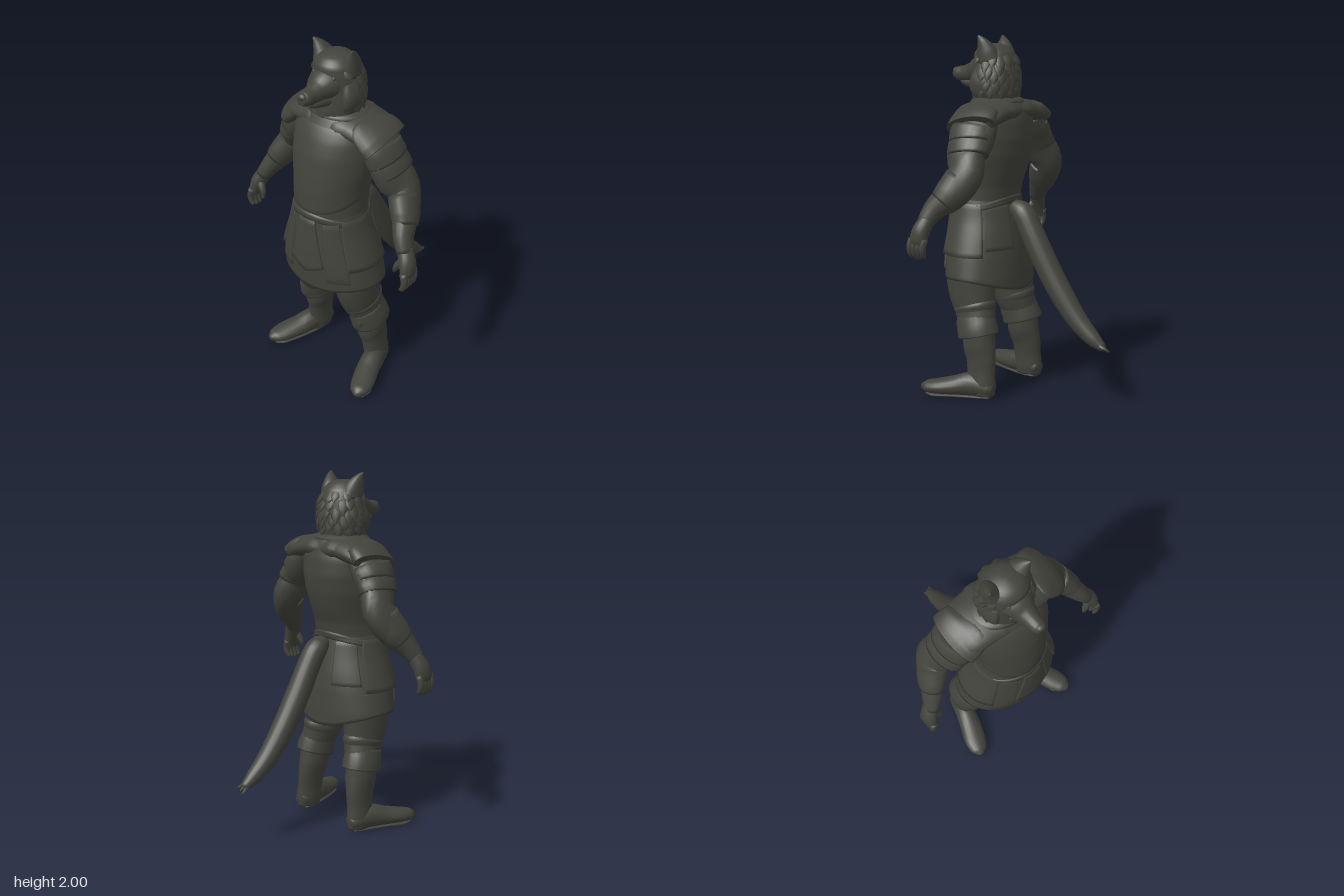
import * as THREE from 'three';
import { mergeVertices } from 'three/addons/utils/BufferGeometryUtils.js';

const V = (x, y, z) => new THREE.Vector3(x, y, z);
const lerp = THREE.MathUtils.lerp;

// Smooth surface from f(u, v); outward when du x dv points outward
function surface(nu, nv, f) {
  const pos = [], idx = [];
  for (let j = 0; j <= nv; j++) for (let i = 0; i <= nu; i++) pos.push(...f(i / nu, j / nv).toArray());
  for (let j = 0; j < nv; j++) for (let i = 0; i < nu; i++) {
    const a = j * (nu + 1) + i, b = a + 1, c = a + nu + 1, d = c + 1;
    idx.push(a, b, d, a, d, c);
  }
  let g = new THREE.BufferGeometry();
  g.setAttribute('position', new THREE.Float32BufferAttribute(pos, 3));
  g.setIndex(idx);
  g = mergeVertices(g, 1e-5);
  g.computeVertexNormals();
  return g;
}

// Tapered limb along points [x, y, z, radiusA, radiusB], closed at both ends
function limb(pts, ref = V(1, 0, 0), nu = 20, nv = 24) {
  const path = new THREE.CatmullRomCurve3(pts.map(p => V(p[0], p[1], p[2])));
  const rad = new THREE.CatmullRomCurve3(pts.map(p => V(p[3], p[4] ?? p[3], 0)));
  return surface(nu, nv + 2, (u, v) => {
    const row = Math.round(v * (nv + 2));
    const t = Math.min(Math.max((row - 1) / nv, 0), 1);
    const c = path.getPoint(t);
    if (row === 0 || row === nv + 2) return c;
    const T = path.getTangent(t), r = rad.getPoint(t), a = u * Math.PI * 2;
    const U = ref.clone().addScaledVector(T, -ref.dot(T)).normalize();
    const W = U.clone().cross(T);
    return c.addScaledVector(U, r.x * Math.sin(a)).addScaledVector(W, r.y * Math.cos(a));
  });
}

// Horizontal oval sections: [y, halfWidth, backZ, frontZ], from bottom to top
const TORSO = [[1.04, .215, .09, .475], [1.1, .203, .1, .475], [1.18, .2, .085, .472], [1.26, .207, .055, .468],
  [1.35, .225, .03, .455], [1.45, .235, .018, .437], [1.54, .235, .025, .405], [1.61, .21, .045, .362],
  [1.655, .16, .08, .335], [1.675, .1, .12, .31]];
const SKIRT = [[.58, .315, .04, .48], [.68, .308, .042, .49], [.8, .283, .05, .5], [.9, .255, .062, .495],
  [1.0, .225, .08, .488], [1.1, .206, .098, .478], [1.14, .195, .11, .465]];
const HEAD = [[1.59, .125, .12, .345], [1.66, .133, .1, .345], [1.73, .145, .09, .34], [1.8, .14, .088, .335],
  [1.86, .128, .095, .34], [1.91, .11, .115, .335], [1.945, .075, .15, .305], [1.958, .03, .19, .26]];

// Point on an oval body; angle 0 is the front, positive toward +x
function onBody(rows, y, a, off = 0) {
  let i = 0;
  while (i < rows.length - 2 && y > rows[i + 1][0]) i++;
  const t = (y - rows[i][0]) / (rows[i + 1][0] - rows[i][0]);
  const [rx, zb, zf] = [1, 2, 3].map(k => lerp(rows[i][k], rows[i + 1][k], t));
  return V((rx + off) * Math.sin(a), y, (zb + zf) / 2 + ((zf - zb) / 2 + off) * Math.cos(a));
}

// Closed oval body; the lower edge may vary with the angle
function ovalBody(rows, bottom, nv = 36, capY = rows[0][0]) {
  const top = rows.at(-1);
  return surface(48, nv + 2, (u, v) => {
    const row = Math.round(v * (nv + 2)), a = u * Math.PI * 2;
    if (row === 0) return V(0, capY, .26);
    if (row === nv + 2) return V(0, top[0], (top[2] + top[3]) / 2);
    return onBody(rows, lerp(bottom(a), top[0], (row - 1) / nv), a);
  });
}

// Raised plate that follows a body, with its rim sunk into the surface
function plate(rows, a0, a1, lower, upper, off = .012, flare = 0, nu = 24, nv = 12) {
  return surface(nu, nv, (u, v) => {
    const rim = u < 1e-6 || u > 1 - 1e-6 || v < 1e-6 || v > 1 - 1e-6;
    const s = Math.min(Math.max((u * nu - 1) / (nu - 2), 0), 1);
    const t = Math.min(Math.max((v * nv - 1) / (nv - 2), 0), 1);
    const w = lerp(a0(t), a1(t), s);
    return onBody(rows, lerp(lower(s), upper(s), t), w, rim ? -.006 : off + flare * (1 - t));
  });
}

export function createModel() {
  const model = new THREE.Group();
  const mat = new THREE.MeshStandardMaterial({ color: 0x42433c, side: THREE.DoubleSide });
  mat.name = 'dark olive grey';
  const add = (name, geo, parent = model) => {
    const m = new THREE.Mesh(geo, mat);
    m.name = name;
    parent.add(m);
    return m;
  };
  const k = n => () => n;
  const PI = Math.PI;

  // Torso, shoulder yoke, collar and belt
  add('torso', ovalBody(TORSO, k(1.04)));
  add('shoulderYoke', limb([[-.29, 1.535, .178, .05, .125], [-.22, 1.57, .182, .065, .148], [-.12, 1.59, .19, .07, .155], [0, 1.59, .195, .07, .155],
    [.12, 1.59, .195, .07, .155], [.22, 1.57, .193, .065, .148], [.29, 1.535, .19, .05, .125]], V(0, 1, 0), 28, 30));
  add('collar', plate(TORSO, k(-PI), k(PI), k(1.64), k(1.665), .006, 0, 48, 4));
  add('belt', plate(TORSO, k(-PI), k(PI), s => 1.07 + .02 * Math.cos(s * PI * 4), s => 1.105 + .025 * Math.cos(s * PI * 4), .007, 0, 48, 5));
  add('breastplate', plate(TORSO, t => -1.4 + .1 * t, t => 1.4 - .1 * t, s => 1.2 - .07 * Math.sin(s * PI), k(1.6), .004, 0, 28, 20));

  // Skirt with hanging plates
  const hem = a => .655 + .02 * Math.sin(a) ** 2 - .045 * Math.max(0, -Math.cos(a)) ** 2 - .01 * Math.cos(a) ** 8;
  add('skirt', ovalBody(SKIRT, hem, 28, .72));
  add('frontPanel', plate(SKIRT, t => lerp(-.4, -.26, t), t => lerp(.4, .26, t), s => .755 + .055 * Math.abs(2 * s - 1), k(1.09), .008, 0, 24, 14));
  for (const s of [-1, 1]) {
    const span = (c, lo, hi) => [t => s * c - lerp(lo, hi, t), t => s * c + lerp(lo, hi, t)];
    add('sidePlate', plate(SKIRT, ...span(1.5, .62, .55), k(.805), k(1.09), .004, .014));
    add('frontSidePlate', plate(SKIRT, ...span(.66, .24, .22), k(.72), k(1.08), .003, .004));
    add('backPlate', plate(SKIRT, ...span(2.5, .34, .3), k(.84), k(1.08), .004, .008));
  }

  // Arms: s is the side, d the forward shift of that side, growing toward the hand
  for (const [s, d, side] of [[-1, 0, 'right'], [1, .045, 'left']]) {
    const arm = new THREE.Group();
    arm.name = side + 'Arm';
    model.add(arm);
    const P = (pts, w) => pts.map(p => [s * p[0], p[1], p[2] + d * (w ?? (p[1] > 1.45 ? .3 : p[1] > 1.15 ? 1 : 1.5)), p[3], p[4]]);
    add('sleeve', limb(P([[.2, 1.56, .18, .07, .11], [.275, 1.47, .175, .088, .13], [.333, 1.37, .152, .078, .115],
      [.382, 1.29, .118, .078, .1], [.435, 1.19, .165, .07, .09], [.49, 1.1, .228, .052, .062], [.53, 1.03, .265, .04, .045]])), arm);
    add('shoulderPlate', limb(P([[.16, 1.6, .19, .05, .11], [.215, 1.585, .19, .058, .142], [.26, 1.555, .185, .064, .151],
      [.29, 1.528, .18, .066, .152]], .4)), arm);
    for (const [x, y, z, r] of [[.285, 1.475, .175, .088], [.32, 1.41, .165, .084]])
      add('armBand', limb(P([[x - .02, y + .04, z, r - .006, r + .036], [x, y, z, r, r + .04], [x + .017, y - .037, z - .005, r, r + .038]], .5), V(1, 0, 0), 20, 6), arm);
    add('cuff', limb(P([[.4, 1.26, .135, .076, .092], [.445, 1.18, .175, .072, .09], [.472, 1.135, .205, .062, .076]], 1.1), V(1, 0, 0), 20, 8), arm);
    add('palm', limb(P([[.52, 1.05, .25, .042, .042], [.552, .99, .272, .042, .05], [.565, .94, .282, .033, .052], [.565, .91, .285, .022, .046]], 1.5)), arm);
    for (let i = 0; i < 4; i++) {
      const z = .242 + i * .027, tip = .835 + .01 * Math.abs(i - 1.5);
      add('finger', limb(P([[.565, .95, z, .02], [.577, .905, z + .004, .019], [.568, .865, z + .006, .016], [.553, tip, z + .008, .009]], 1.5), V(1, 0, 0), 8, 8), arm);
    }
    add('thumb', limb(P([[.535, 1.0, .285, .024], [.51, .965, .297, .02], [.498, .942, .302, .015], [.492, .922, .304, .007]], 1.5), V(0, 0, 1), 8, 8), arm);
  }

  // Legs and boots
  for (const [s, d, side] of [[-1, 0, 'right'], [1, .035, 'left']]) {
    const leg = new THREE.Group();
    leg.name = side + 'Leg';
    leg.position.z = d;
    model.add(leg);
    const P = pts => pts.map(p => [s * p[0], ...p.slice(1)]);
    add('trouser', limb(P([[.155, .78, .25, .12, .14], [.17, .66, .245, .112, .15], [.178, .58, .235, .102, .142],
      [.183, .5, .215, .096, .124], [.2, .42, .19, .088, .11], [.205, .36, .18, .08, .1]])), leg);
    add('trouserFold', limb(P([[.182, .545, .225, .088, .118], [.184, .51, .215, .1, .13], [.19, .47, .205, .088, .112]]), V(1, 0, 0), 20, 8), leg);
    // knee guard flares out at its lower edge
    add('kneeGuard', limb(P([[.195, .46, .205, .088, .112], [.202, .42, .195, .094, .118], [.208, .38, .182, .099, .12], [.21, .352, .175, .1, .122]]), V(1, 0, 0), 24, 10), leg);
    add('kneePoint', limb(P([[.205, .45, .285, .03, .02], [.208, .4, .288, .045, .022], [.21, .335, .288, .012, .01]]), V(1, 0, 0), 10, 8), leg);
    add('bootShaft', limb(P([[.205, .39, .175, .08, .09], [.21, .3, .17, .078, .096], [.218, .22, .155, .062, .09],
      [.225, .14, .15, .056, .085], [.23, .07, .145, .058, .085], [.23, .02, .145, .05, .078]])), leg);
    add('bootFoot', limb(P([[.222, .055, .07, .035, .035], [.228, .062, .1, .05, .052], [.25, .075, .2, .06, .068], [.28, .062, .29, .066, .054],
      [.318, .053, .38, .066, .042], [.338, .048, .44, .05, .034], [.347, .046, .473, .014, .014]])), leg);
    add('sole', limb(P([[.225, .012, .09, .032, .01], [.235, .012, .15, .046, .012], [.275, .012, .28, .052, .012], [.32, .012, .39, .055, .012], [.338, .015, .445, .03, .01]])), leg);
  }

  // Tail with a ragged tip
  add('tail', limb([[.015, 1.07, .1, .04], [.015, 1.03, .035, .064], [.02, .93, -.025, .066], [.022, .8, -.095, .068], [.025, .62, -.205, .066],
    [.03, .47, -.32, .056], [.035, .38, -.42, .042], [.038, .34, -.48, .022]], V(1, 0, 0), 20, 32));
  for (let i = -1; i <= 1; i++)
    add('tailTuft', limb([[.037 + i * .012, .36, -.45, .016], [.037 + i * .018, .335 + .01 * i, -.49, .01], [.037 + i * .019, .33 + .012 * i, -.507, .002]], V(1, 0, 0), 6, 5));

  // Head
  const head = new THREE.Group();
  head.name = 'head';
  model.add(head);
  add('skull', ovalBody(HEAD, k(1.59)), head);
  add('muzzle', limb([[0, 1.815, .25, .115, .1], [0, 1.808, .32, .086, .08], [0, 1.797, .37, .058, .056], [0, 1.79, .42, .045, .046],
    [0, 1.79, .465, .04, .04], [0, 1.79, .492, .022, .024]]), head);
  add('lowerJaw', limb([[0, 1.735, .28, .075, .06], [0, 1.738, .35, .05, .036], [0, 1.743, .41, .036, .024], [0, 1.752, .44, .02, .016]]), head);
  const nose = add('nose', new THREE.SphereGeometry(.024, 14, 10), head);
  nose.position.set(0, 1.806, .477);
  nose.scale.set(1.1, .85, .9);
  for (const s of [-1, 1]) {
    add('ear', limb([[s * .075, 1.87, .215, .06, .075], [s * .09, 1.92, .222, .047, .058], [s * .108, 1.965, .235, .026, .032], [s * .124, 2.0, .252, .004, .005]], V(1, 0, 0), 16, 12), head);
    const eye = add('eye', new THREE.SphereGeometry(.012, 10, 8), head);
    eye.position.set(s * .063, 1.86, .318);
    add('cheekRuff', limb([[s * .1, 1.82, .23, .03, .06], [s * .118, 1.75, .235, .036, .075], [s * .115, 1.69, .24, .028, .07], [s * .09, 1.635, .26, .01, .03]], V(1, 0, 0), 16, 12), head);
  }
  add('chinFur', limb([[0, 1.72, .3, .08, .045], [0, 1.67, .31, .08, .04], [0, 1.62, .33, .03, .02], [0, 1.6, .34, .005, .005]], V(1, 0, 0), 16, 10), head);

  // Irregular fur clumps on the cheeks and back of the head
  let seed = 7;
  const rnd = () => (seed = (seed * 16807) % 2147483647) / 2147483647;
  for (let row = 0; row < 5; row++) for (let i = 0; i < 10; i++) {
    const a = PI + lerp(-2, 2, (i + (row % 2) * .5) / 9.5) + (rnd() - .5) * .25;
    const y = 1.7 + row * .04 + rnd() * .03, len = .04 + rnd() * .03;
    const pts = [[y + .05, -.014, .024], [y - len * .3, -.002, .027], [y - len, .012, .003]].map(([h, off, r]) =>
      [...onBody(HEAD, h, a, off).toArray(), r, r * .4]);
    add('furClump', limb(pts, V(Math.cos(a), 0, -Math.sin(a)), 8, 5), head);
  }
  return model;
}
